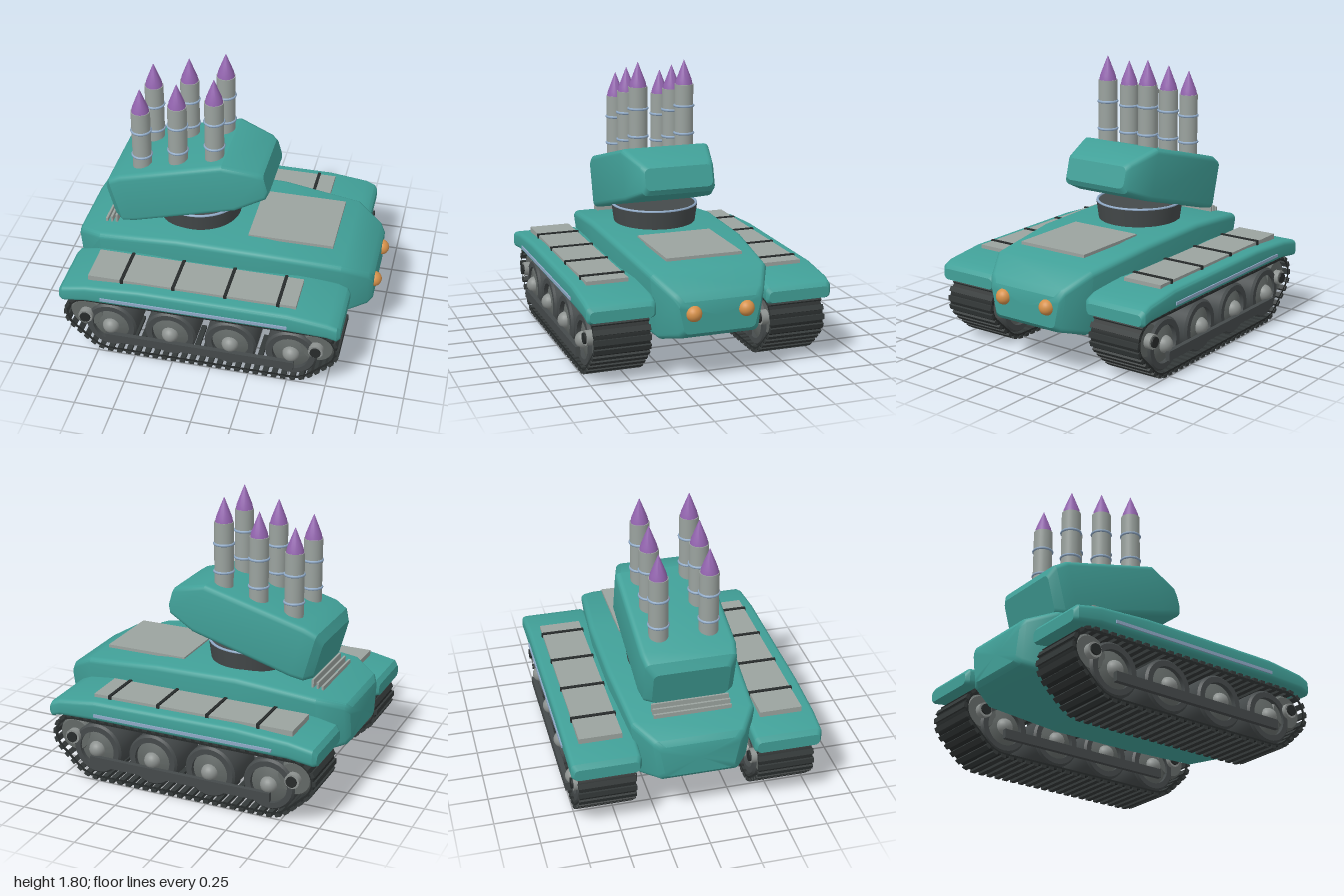
import * as THREE from 'three';
import { toCreasedNormals } from 'three/addons/utils/BufferGeometryUtils.js';

const paint = (name, color) => {
  const m = new THREE.MeshStandardMaterial({ color });
  m.name = name;
  return m;
};

export function createModel() {
  const teal = paint('teal paint', 0x41a098);
  const panelGrey = paint('panel grey', 0x9ba39f);
  const rubber = paint('dark rubber', 0x272b2b);
  const lugGrey = paint('track lug grey', 0x343939);
  const iron = paint('dark iron', 0x454a4b);
  const steel = paint('wheel steel', 0x626866);
  const hubGrey = paint('hub grey', 0x8c918f);
  const amber = paint('amber lamp', 0xd6914a);
  const purple = paint('purple nose', 0x9465b0);
  const blue = paint('pale blue trim', 0x8fa9c6);

  const model = new THREE.Group();
  model.name = 'rocketTank';

  const add = (parent, name, geometry, material, x = 0, y = 0, z = 0) => {
    const mesh = new THREE.Mesh(geometry, material);
    mesh.name = name;
    mesh.position.set(x, y, z);
    parent.add(mesh);
    return mesh;
  };
  const box = (w, h, d) => new THREE.BoxGeometry(w, h, d);
  const lathe = (pts, sides = 32) => toCreasedNormals(
    new THREE.LatheGeometry(pts.map(p => new THREE.Vector2(...p)), sides), 0.6);

  // Body lofted along x from rounded sections [x, top, bottom, halfWidth]
  const loft = (sections, radius, lowWidth) => {
    const pos = [], index = [], steps = 4, n = 4 * (steps + 1);
    for (const [x, top, bottom, half] of sections) {
      for (let k = 0; k < 4; k++) {
        const up = k === 0 || k === 3;
        const cy = up ? top - radius : bottom + radius;
        const cz = ((up ? half : half * lowWidth) - radius) * (k < 2 ? 1 : -1);
        for (let s = 0; s <= steps; s++) {
          const t = (k + s / steps) * Math.PI / 2;
          pos.push(x, cy + radius * Math.cos(t), cz + radius * Math.sin(t));
        }
      }
    }
    const last = sections.length - 1;
    for (let i = 0; i < last; i++) for (let j = 0; j < n; j++) {
      const a = i * n + j, b = i * n + (j + 1) % n;
      index.push(a, b, a + n, b, b + n, a + n);
    }
    // End caps
    for (const i of [0, last]) {
      const [x, top, bottom] = sections[i], c = pos.length / 3;
      pos.push(x, (top + bottom) / 2, 0);
      for (let j = 0; j < n; j++) {
        const a = i * n + j, b = i * n + (j + 1) % n;
        if (i === 0) index.push(c, b, a); else index.push(c, a, b);
      }
    }
    const g = new THREE.BufferGeometry();
    g.setAttribute('position', new THREE.Float32BufferAttribute(pos, 3));
    g.setIndex(index);
    return toCreasedNormals(g, 0.55);
  };

  // Hull
  add(model, 'hull', loft([
    [-1, 0.58, 0.36, 0.25], [-0.975, 0.615, 0.33, 0.29], [-0.82, 0.67, 0.28, 0.39],
    [-0.3, 0.725, 0.25, 0.425], [0.25, 0.715, 0.25, 0.42], [0.76, 0.665, 0.25, 0.375],
    [0.925, 0.575, 0.30, 0.29], [0.955, 0.53, 0.33, 0.26]], 0.035, 0.89), teal);
  add(model, 'deckPlate', box(0.55, 0.02, 0.49), panelGrey, 0.41, 0.718, 0);
  for (let i = 0; i < 3; i++) {
    add(model, 'ventSlat', box(0.014, 0.06, 0.49), panelGrey, -0.812 + i * 0.033, 0.667 + i * 0.017, 0);
  }
  for (const z of [-0.168, 0.168]) {
    add(model, 'headlight', new THREE.SphereGeometry(0.05, 24, 16), amber, 0.95, 0.455, z);
  }

  // Turret ring
  add(model, 'turretRing', new THREE.CylinderGeometry(0.285, 0.268, 0.125, 48), iron, -0.24, 0.775, 0);
  const trim = add(model, 'turretRingTrim', new THREE.TorusGeometry(0.277, 0.009, 8, 48), blue, -0.24, 0.838, 0);
  trim.rotation.x = Math.PI / 2;

  // Tilted launcher housing
  const housing = add(model, 'launcherHousing', loft([
    [-0.522, 0.125, -0.125, 0.24], [-0.475, 0.178, -0.15, 0.285], [-0.39, 0.2, -0.152, 0.3],
    [0.3, 0.195, -0.145, 0.3], [0.495, 0.08, -0.12, 0.245], [0.522, 0.05, -0.09, 0.225]],
  0.035, 1), teal, -0.27, 0.99, 0);
  housing.rotation.z = 0.27;

  // Rockets in three rows of two
  const noseShape = lathe([[0, 0], [0.056, 0], [0.05, 0.03], [0.027, 0.09], [0.001, 0.157]], 24);
  const bodyShape = new THREE.CylinderGeometry(0.061, 0.061, 0.46, 28);
  const bandShape = new THREE.TorusGeometry(0.06, 0.009, 8, 28).rotateX(Math.PI / 2);
  [[-0.578, 1.508], [-0.341, 1.577], [-0.104, 1.643]].forEach(([x, top]) => {
    for (const z of [-0.157, 0.157]) {
      const rocket = new THREE.Group();
      rocket.name = 'rocket';
      rocket.position.set(x, top, z);
      add(rocket, 'rocketBody', bodyShape, panelGrey, 0, -0.23, 0);
      add(rocket, 'rocketNose', noseShape, purple);
      for (const y of [-0.14, -0.32]) add(rocket, 'rocketBand', bandShape, blue, 0, y, 0);
      model.add(rocket);
    }
  });

  // Track outline wrapped around end sprockets and road wheels
  const SX = 0.75, SY = 0.283, WX = 0.59, WY = 0.215, A = -0.869, P = Math.PI;
  const loop = (inset, Type = THREE.Shape) => {
    const s = new Type(), r = 0.135 - inset, R = 0.195 - inset;
    s.absarc(SX, SY, r, P / 2, A, true);
    s.absarc(WX, WY, R, A, -P / 2, true);
    s.absarc(-WX, WY, R, -P / 2, -P - A, true);
    s.absarc(-SX, SY, r, -P - A, -1.5 * P, true);
    s.closePath();
    return s;
  };
  const beltOutline = loop(0);
  beltOutline.holes.push(loop(0.02, THREE.Path));
  const beltShape = toCreasedNormals(new THREE.ExtrudeGeometry(beltOutline,
    { depth: 0.35, bevelEnabled: false, curveSegments: 14 }).translate(0, 0, -0.175), 0.6);
  const lugPath = loop(-0.005).getSpacedPoints(66);
  const lugShape = box(0.034, 0.022, 0.36);

  // Wheel parts, axis along z
  const alongZ = g => g.rotateX(P / 2);
  const tyreShape = alongZ(lathe([[0.12, -0.165], [0.155, -0.165], [0.168, -0.15],
    [0.168, 0.15], [0.155, 0.165], [0.12, 0.165], [0.12, -0.165]], 36));
  const discShape = alongZ(lathe([[0, -0.165], [0.055, -0.16], [0.122, -0.135],
    [0.122, 0.135], [0.055, 0.16], [0, 0.165]], 36));
  const sprocketShape = alongZ(lathe([[0, -0.15], [0.1, -0.15], [0.114, -0.13],
    [0.114, 0.13], [0.1, 0.15], [0, 0.15]], 28));
  const hubShape = new THREE.SphereGeometry(0.055, 20, 14);
  const axleShape = alongZ(new THREE.CylinderGeometry(0.034, 0.034, 0.41, 20));
  const collarShape = alongZ(new THREE.CylinderGeometry(0.047, 0.047, 0.385, 20));

  // Fender section shared by both sides
  const fenderShape = loft([
    [-0.98, 0.49, 0.415, 0.2], [-0.955, 0.52, 0.412, 0.217], [-0.8, 0.55, 0.435, 0.22],
    [-0.45, 0.572, 0.438, 0.22], [0.5, 0.568, 0.438, 0.22], [0.75, 0.538, 0.43, 0.22],
    [0.81, 0.515, 0.412, 0.217], [0.83, 0.49, 0.42, 0.2]], 0.028, 1);

  for (const side of [-1, 1]) {
    const unit = new THREE.Group();
    unit.name = 'trackUnit';
    unit.position.set(-0.07, 0, side * 0.567);
    model.add(unit);

    add(unit, 'trackBelt', beltShape, rubber);
    lugPath.slice(0, -1).forEach((p, i) => {
      const q = lugPath[i + 1];
      const lug = add(unit, 'trackLug', lugShape, lugGrey, (p.x + q.x) / 2, (p.y + q.y) / 2, 0);
      lug.rotation.z = Math.atan2(q.y - p.y, q.x - p.x);
    });

    for (const x of [-WX, -WX / 3, WX / 3, WX]) {
      add(unit, 'tyre', tyreShape, iron, x, WY, 0);
      add(unit, 'wheelDisc', discShape, steel, x, WY, 0);
      for (const z of [-0.155, 0.155]) add(unit, 'wheelHub', hubShape, hubGrey, x, WY, z);
    }
    for (const x of [-SX, SX]) {
      add(unit, 'sprocket', sprocketShape, steel, x, SY, 0);
      add(unit, 'sprocketCollar', collarShape, hubGrey, x, SY, 0);
      add(unit, 'sprocketAxle', axleShape, rubber, x, SY, 0);
    }
    // Guard bars inside and outside the wheels
    for (const z of [-0.2, 0.2]) add(unit, 'guardBar', box(1.23, 0.06, 0.03), iron, 0, 0.153, z);

    // Fender with stowage panel, straps and side trim
    add(model, 'fender', fenderShape, teal, 0, 0, side * 0.572);
    add(model, 'fenderPanel', box(1.34, 0.035, 0.27), panelGrey, -0.13, 0.57, side * 0.573);
    for (const x of [-0.578, -0.243, 0.092, 0.427]) {
      add(model, 'panelStrap', box(0.02, 0.036, 0.285), rubber, x, 0.577, side * 0.573);
    }
    add(model, 'sideTrim', box(1.2, 0.02, 0.014), blue, -0.1, 0.478, side * 0.793);
  }
  return model;
}
